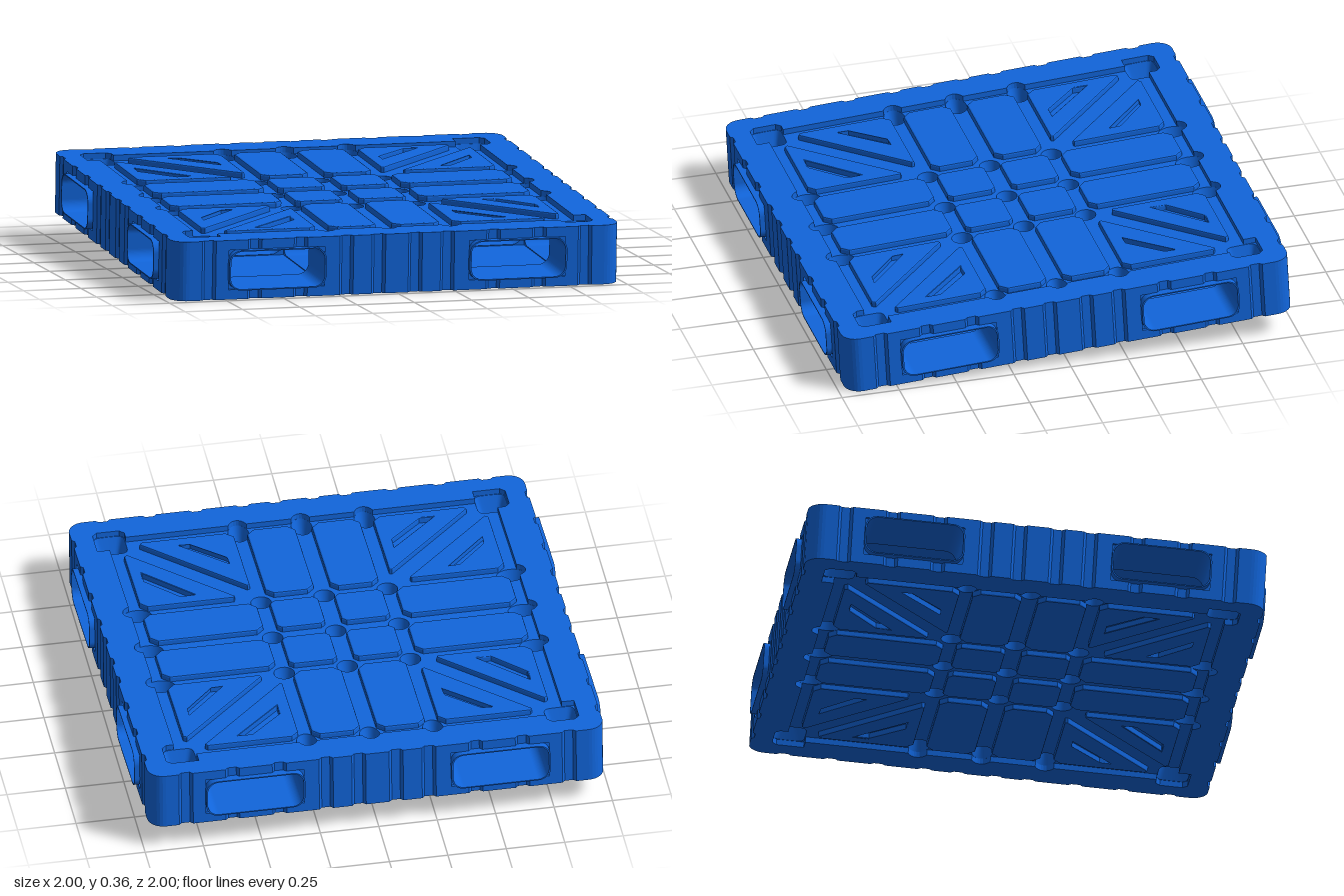
import * as THREE from 'three';
import { mergeGeometries } from 'three/addons/utils/BufferGeometryUtils.js';

const BLUE = new THREE.MeshStandardMaterial({ color: 0x1166dd, side: THREE.DoubleSide });
const HALF = 0.975, TOP = 0.127, FLOOR = 0.102, CORE = 0.085; // half width, deck levels
const T_MID = 0.525, T_IN = 0.315, T_OUT = 0.735;             // fork tunnel centre and sides

const V = (x, y) => new THREE.Vector2(x, y);
const mesh = (name, geo) => {
  const m = new THREE.Mesh(geo, BLUE);
  m.name = name;
  return m;
};

// Repeats one side of a square outline four times round the centre
const ring = (side) => [0, 1, 2, 3].flatMap((k) =>
  side.map((p) => p.clone().rotateAround(V(0, 0), k * Math.PI / 2)));

// Horizontal slab from a plan outline between two heights
function slab(points, holes, y0, y1, bevel = 0) {
  const s = new THREE.Shape(points);
  s.holes = holes.map((h) => new THREE.Path(h));
  const g = new THREE.ExtrudeGeometry(s, {
    depth: y1 - y0 - bevel, bevelEnabled: bevel > 0, bevelThickness: bevel,
    bevelSize: bevel, bevelOffset: -bevel, bevelSegments: 2,
  });
  return g.rotateX(-Math.PI / 2).translate(0, y0, 0);
}

// Wall between a plan line at one height and a plan line at another
function loft(a, ya, b, yb) {
  const g = new THREE.PlaneGeometry(1, 1, a.length - 1, 1);
  const pos = g.attributes.position;
  a.forEach((p, i) => {
    pos.setXYZ(i, p.x, ya, -p.y);
    pos.setXYZ(a.length + i, b[i].x, yb, -b[i].y);
  });
  g.computeVertexNormals();
  return g;
}

// Outer outline: shallow vertical flutes on each side and rounded corners
function outerOutline() {
  const side = [V(0.905, HALF)];
  for (const g of [0.82, 0.62, 0.42, 0.22, 0.08, -0.08, -0.22, -0.42, -0.62, -0.82])
    side.push(V(g + 0.03, HALF), V(g + 0.018, HALF - 0.012),
      V(g - 0.018, HALF - 0.012), V(g - 0.03, HALF));
  for (const u of [T_IN, T_OUT]) side.push(V(u, HALF), V(-u, HALF));
  side.sort((p, q) => q.x - p.x);
  for (let i = 0; i < 8; i++) {
    const t = Math.PI / 2 * (1 + i / 8);
    side.push(V(-0.905 + 0.07 * Math.cos(t), 0.905 + 0.07 * Math.sin(t)));
  }
  return ring(side);
}

// Inner edge of the rim, bulging round the perimeter pits
function rimOutline() {
  const side = [V(0.747, 0.83)];
  for (const c of [0.27, 0, -0.27])
    for (let i = 0; i <= 8; i++) {
      const t = 0.505 + (Math.PI - 1.01) * i / 8;
      side.push(V(c + 0.045 * Math.cos(t), 0.8 + 0.062 * Math.sin(t)));
    }
  side.push(V(-0.747, 0.83), V(-0.747, 0.863), V(-0.767, 0.883),
    V(-0.863, 0.883), V(-0.883, 0.863), V(-0.883, 0.747));
  return ring(side);
}

// Closed oval (n = 2) or rounded square (n > 2)
function oval(cx, cy, rx, ry, n) {
  const pts = [];
  const f = (v) => Math.sign(v) * Math.abs(v) ** (2 / n);
  for (let i = 0; i < 24; i++) {
    const t = i / 24 * Math.PI * 2;
    pts.push(V(cx + rx * f(Math.cos(t)), cy + ry * f(Math.sin(t))));
  }
  return pts;
}

// Tapered pits where the channels cross
function pitList() {
  const lines = [-0.8, -0.27, 0, 0.27, 0.8], pits = [];
  for (const x of lines) for (const y of lines) {
    const ex = Math.abs(x) > 0.7, ey = Math.abs(y) > 0.7;
    const make = (k) => ex && ey
      ? oval(Math.sign(x) * 0.815, Math.sign(y) * 0.815, 0.066 * k, 0.066 * k, 5)
      : oval(x, y, (ex ? 0.062 : 0.044) * k, (ey ? 0.062 : 0.044) * k, 2);
    pits.push({ rim: make(1), base: make(0.65) });
  }
  return pits;
}

// Rectangle with chamfered corners
function cutRect(x0, x1, y0, y1, c) {
  return [V(x0 + c, y0), V(x1 - c, y0), V(x1, y0 + c), V(x1, y1 - c),
    V(x1 - c, y1), V(x0 + c, y1), V(x0, y1 - c), V(x0, y0 + c)];
}

function makeDeck() {
  const deck = new THREE.Group();
  const outer = outerOutline(), pits = pitList();
  deck.add(mesh('channelFloor', slab(outer, pits.map((p) => p.rim), CORE, FLOOR)));
  deck.add(mesh('rim', slab(outer, [rimOutline()], FLOOR, TOP)));

  // Pits
  const closed = (p) => [...p, p[0]];
  for (const p of pits) {
    deck.add(mesh('pitWall', loft(closed(p.rim), FLOOR, closed(p.base), 0.025)));
    deck.add(mesh('pitBase', new THREE.ShapeGeometry(new THREE.Shape(p.base))
      .rotateX(-Math.PI / 2).translate(0, 0.025, 0)));
  }

  // Raised rectangular panels
  const cells = [[-0.785, -0.298], [-0.242, -0.035], [0.035, 0.242], [0.298, 0.785]];
  cells.forEach(([x0, x1], i) => cells.forEach(([y0, y1], j) => {
    if (i % 3 === 0 && j % 3 === 0) return;
    const cut = i % 3 && j % 3 ? 0.02 : 0.032;
    deck.add(mesh('panel', slab(cutRect(x0, x1, y0, y1, cut), [], FLOOR, TOP, 0.007)));
  }));

  // Corner panels: pairs of slotted triangles beside a diagonal channel
  const triangle = [[0.69, 0.78], [0.33, 0.78], [0.298, 0.75], [0.298, 0.38], [0.31, 0.375], [0.70, 0.765]];
  const slot = [[0.55, 0.73], [0.49, 0.73], [0.35, 0.60], [0.35, 0.54]];
  for (const sx of [-1, 1]) for (const sy of [-1, 1]) for (const swap of [false, true]) {
    const place = (pts) => pts.map(([a, b]) => swap ? V(sx * b, sy * a) : V(sx * a, sy * b));
    deck.add(mesh('cornerPanel', slab(place(triangle), [place(slot)], FLOOR, TOP, 0.006)));
  }
  return deck;
}

function roundRect(w, h, r, Type = THREE.Shape) {
  const s = new Type();
  s.absarc(w - r, h - r, r, 0, Math.PI / 2);
  s.absarc(-w + r, h - r, r, Math.PI / 2, Math.PI);
  s.absarc(-w + r, -h + r, r, Math.PI, Math.PI * 1.5);
  s.absarc(w - r, -h + r, r, Math.PI * 1.5, Math.PI * 2);
  s.closePath();
  return s;
}

// Frame extruded along z between two positions
function tube(shape, x, z0, z1) {
  shape.holes = [roundRect(0.205, 0.081, 0.048, THREE.Path)];
  return new THREE.ExtrudeGeometry(shape, { depth: z1 - z0, bevelEnabled: false, curveSegments: 8 })
    .translate(x, 0, z0);
}

// Two parallel fork tunnels, left open where the other pair crosses
function makeTunnels() {
  const g = new THREE.Group();
  const box = () => new THREE.Shape(cutRect(-0.212, 0.212, -CORE, CORE, 0));
  for (const x of [-T_MID, T_MID]) {
    for (const [z0, z1] of [[-0.963, -T_OUT], [-T_IN, T_IN], [T_OUT, 0.963]])
      g.add(mesh('tunnelLining', tube(box(), x, z0, z1)));
    for (const [z0, z1] of [[-0.998, -0.95], [0.95, 0.998]])
      g.add(mesh('tunnelLip', tube(roundRect(0.212, 0.086, 0.053), x, z0, z1)));
  }
  return g;
}

// Fluted side wall, open at the tunnel mouths
function sideWall() {
  const pts = outerOutline(), parts = [];
  pts.forEach((p, i) => {
    const q = pts[(i + 1) % pts.length];
    const mx = Math.abs(p.x + q.x) / 2, my = Math.abs(p.y + q.y) / 2;
    const along = Math.min(mx, my);
    if (p.distanceTo(q) < 1e-6 || (along > T_IN && along < T_OUT)) return;
    parts.push(loft([q, p], CORE, [q, p], -CORE));
  });
  return mergeGeometries(parts);
}

export function createModel() {
  const model = new THREE.Group();
  const pallet = new THREE.Group();
  pallet.name = 'pallet';

  const top = makeDeck();
  top.name = 'topDeck';
  const bottom = top.clone();
  bottom.name = 'bottomDeck';
  bottom.rotation.z = Math.PI;

  const lengthwise = makeTunnels();
  lengthwise.name = 'lengthwiseTunnels';
  const crosswise = makeTunnels();
  crosswise.name = 'crosswiseTunnels';
  crosswise.rotation.y = Math.PI / 2;

  pallet.add(top, bottom, lengthwise, crosswise, mesh('sideWall', sideWall()));

  // The pallet rests tilted, front edge down
  pallet.rotation.x = 0.056;
  pallet.position.y = 0.1815;
  model.add(pallet);
  return model;
}
